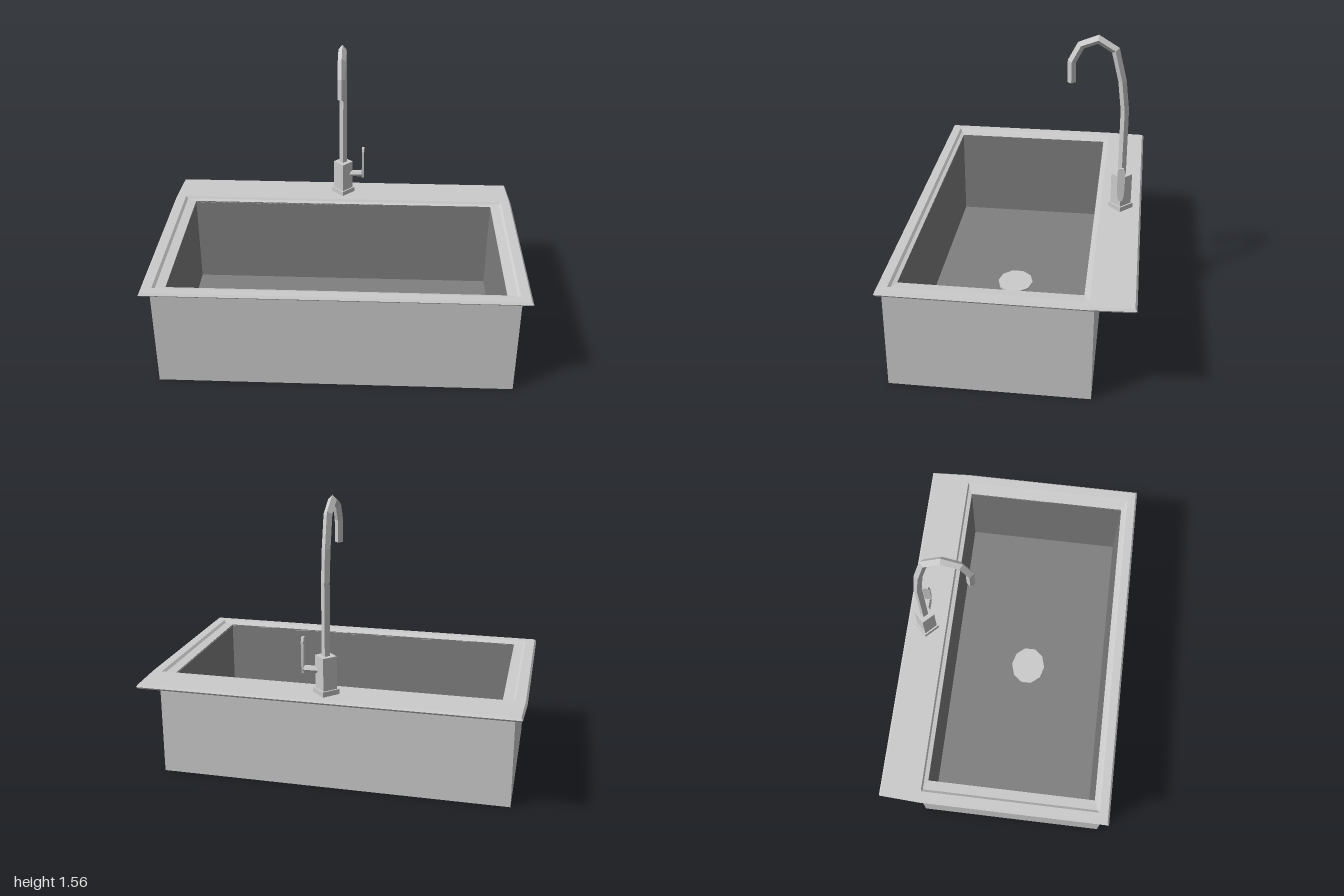
import * as THREE from 'three';

const material = new THREE.MeshStandardMaterial({ color: 0xcccccc, flatShading: true });
const dark = new THREE.MeshStandardMaterial({ color: 0x808080, flatShading: true });

// Skins a list of equal-sized rings; either joins last to first or caps the ends.
function loft(rings, { closed = false, capStart = false, capEnd = false } = {}) {
  const n = rings[0].length;
  const index = [];
  const spans = closed ? rings.length : rings.length - 1;
  for (let i = 0; i < spans; i++) {
    const k = (i + 1) % rings.length;
    for (let j = 0; j < n; j++) {
      const a = i * n + j, b = i * n + (j + 1) % n;
      const c = k * n + (j + 1) % n, d = k * n + j;
      index.push(a, b, c, a, c, d);
    }
  }
  const last = (rings.length - 1) * n;
  for (let j = 1; j < n - 1; j++) {
    if (capStart) index.push(0, j + 1, j);
    if (capEnd) index.push(last, last + j, last + j + 1);
  }
  const geometry = new THREE.BufferGeometry();
  geometry.setAttribute('position', new THREE.Float32BufferAttribute(rings.flat(2), 3));
  geometry.setIndex(index);
  const flat = geometry.toNonIndexed();
  flat.computeVertexNormals();
  return flat;
}

// Rectangular ring whose back corners may taper inwards behind zMid.
const ring = (hx, zBack, zFront, y, zMid = zBack + 0.01, taper = 0) => [
  [-hx, y, zFront], [hx, y, zFront], [hx, y, zMid],
  [hx - taper, y, zBack], [-hx + taper, y, zBack], [-hx, y, zMid],
];

// Square-section pipe, edge-on to the front, mitred along a path of [z, y] points.
function pipe(path, r) {
  const pts = path.map(([z, y]) => new THREE.Vector2(z, y));
  const rings = pts.map((p, i) => {
    const before = p.clone().sub(pts[Math.max(i - 1, 0)]).normalize();
    const after = pts[Math.min(i + 1, pts.length - 1)].clone().sub(p).normalize();
    const t = before.clone().add(after).normalize();
    const s = r / Math.max(t.dot(after), t.dot(before));
    const nz = -t.y * s, ny = t.x * s;
    return [[r, p.y, p.x], [0, p.y + ny, p.x + nz], [-r, p.y, p.x], [0, p.y - ny, p.x - nz]];
  });
  return loft(rings, { capStart: true, capEnd: true });
}

export function createModel() {
  const model = new THREE.Group();
  const add = (name, geometry, mat = material, parent = model) => {
    const mesh = new THREE.Mesh(geometry, mat);
    mesh.name = name;
    parent.add(mesh);
    return mesh;
  };

  // Outer casing, open at the top under the rim
  add('basinCasing', loft([
    ring(0.945, -0.422, 0.598, 0),
    ring(0.945, -0.422, 0.598, 0.555),
  ], { capStart: true }));

  // Darker inner bowl, dropping straight from the rim opening
  const floorY = 0.03;
  add('basinBowl', loft([
    ring(0.875, -0.37, 0.535, 0.56),
    ring(0.875, -0.37, 0.535, floorY),
  ], { capEnd: true }), dark);

  // Bevelled counter rim with a stepped inner ledge
  add('rim', loft([
    ring(0.875, -0.37, 0.535, 0.551),
    ring(0.99, -0.61, 0.61, 0.551, -0.4, 0.01),
    ring(1, -0.622, 0.622, 0.563, -0.4, 0.012),
    ring(0.99, -0.612, 0.612, 0.575, -0.4, 0.01),
    ring(0.94, -0.4, 0.567, 0.575),
    ring(0.927, -0.392, 0.555, 0.564),
    ring(0.875, -0.37, 0.535, 0.56),
  ], { closed: true }));

  // Ten-sided drain cover
  const drain = add('drain', new THREE.CylinderGeometry(0.115, 0.115, 0.01, 10));
  drain.scale.z = 0.87;
  drain.position.set(0, floorY + 0.005, 0.08);

  const faucet = new THREE.Group();
  faucet.name = 'faucet';
  model.add(faucet);
  const z = -0.507;

  // Square foot and body, turned corner-first
  const post = (name, r, y0, y1) => {
    const mesh = add(name, new THREE.CylinderGeometry(r, r, y1 - y0, 4), material, faucet);
    mesh.position.set(0, (y0 + y1) / 2, z);
  };
  post('faucetFoot', 0.068, 0.57, 0.602);
  post('faucetBody', 0.056, 0.6, 0.775);

  // Gooseneck spout
  add('spout', pipe([
    [z, 0.77], [z, 1.15], [-0.488, 1.312], [-0.447, 1.478],
    [-0.357, 1.533], [-0.268, 1.498], [-0.223, 1.41], [-0.223, 1.294],
  ], 0.022), material, faucet);

  // Side lever: a short stem and a flat upright paddle
  const stem = add('leverStem', new THREE.CylinderGeometry(0.019, 0.019, 0.09, 6), material, faucet);
  stem.rotation.z = Math.PI / 2;
  stem.position.set(0.072, 0.697, z);

  const half = [[0.011, 0.675], [0.017, 0.705], [0.02, 0.75], [0.02, 0.845], [0.012, 0.865]];
  const outline = [...half, ...half.map(([u, v]) => [-u, v]).reverse()];
  const paddle = add('leverPaddle', new THREE.ExtrudeGeometry(
    new THREE.Shape(outline.map(([u, v]) => new THREE.Vector2(u, v))),
    { depth: 0.013, bevelEnabled: false },
  ), material, faucet);
  paddle.rotation.y = Math.PI / 2;
  paddle.position.set(0.111, 0, z);

  return model;
}
